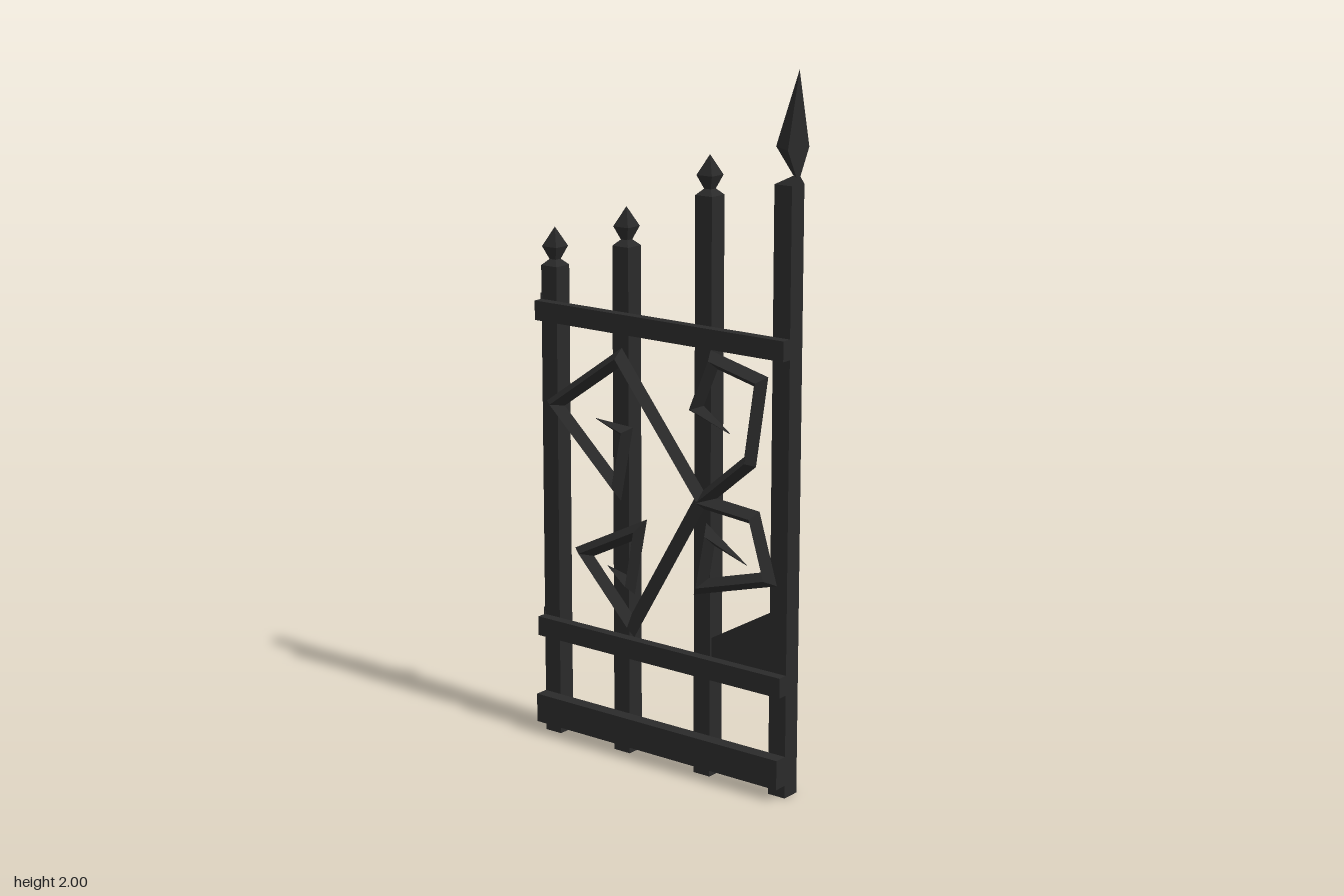
import * as THREE from 'three';

const POST = 0.056, POST_Z = -0.01;

// four-sided tapered prism with sides parallel to x and z; half widths at bottom and top
function squareTaper(bottom, top, height) {
  const g = new THREE.CylinderGeometry(top * Math.SQRT2, bottom * Math.SQRT2, height, 4);
  return g.rotateY(Math.PI / 4).translate(0, height / 2, 0);
}

// bevelled bar along a polyline of [x, y, halfWidth]: flat back, ridge in front
function scrollBar(points, back = 0.018, rise = 0.028) {
  const rings = points.map(([x, y, w], i) => {
    const p = new THREE.Vector2(x, y);
    const dir = (a, b) => new THREE.Vector2(b[0] - a[0], b[1] - a[1]).normalize();
    const before = i > 0 ? dir(points[i - 1], points[i]) : dir(points[i], points[i + 1]);
    const after = i < points.length - 1 ? dir(points[i], points[i + 1]) : before;
    const n1 = new THREE.Vector2(-before.y, before.x);
    const n2 = new THREE.Vector2(-after.y, after.x);
    const miter = n1.clone().add(n2).normalize();
    miter.multiplyScalar(w / Math.max(miter.dot(n1), 0.45));
    return [
      [p.x + miter.x, p.y + miter.y, back],
      [p.x, p.y, back + rise * Math.min(1, w / 0.018)],
      [p.x - miter.x, p.y - miter.y, back],
    ];
  });
  const pos = [];
  const tri = (a, b, c) => pos.push(...a, ...b, ...c);
  for (let i = 0; i < rings.length - 1; i++) {
    const a = rings[i], b = rings[i + 1];
    for (let k = 0; k < 3; k++) {
      const m = (k + 1) % 3;
      tri(a[k], a[m], b[m]);
      tri(a[k], b[m], b[k]);
    }
  }
  const s = rings[0], e = rings[rings.length - 1];
  tri(s[0], s[2], s[1]);
  tri(e[0], e[1], e[2]);
  const g = new THREE.BufferGeometry();
  g.setAttribute('position', new THREE.Float32BufferAttribute(pos, 3));
  g.computeVertexNormals();
  return g;
}

export function createModel() {
  const gate = new THREE.Group();
  gate.name = 'gate';
  const iron = new THREE.MeshStandardMaterial({ color: 0x2a2a2a });
  iron.name = 'blackIron';

  function add(name, geometry, x = 0, y = 0, z = 0) {
    const flat = geometry.index ? geometry.toNonIndexed() : geometry;
    flat.computeVertexNormals();
    const mesh = new THREE.Mesh(flat, iron);
    mesh.name = name;
    mesh.position.set(x, y, z);
    gate.add(mesh);
  }

  // upright posts with pointed finials
  const posts = [[-0.389, 1.39], [-0.13, 1.475], [0.157, 1.645]];
  for (const [x, h] of posts) {
    add('post', new THREE.BoxGeometry(POST, h, POST), x, h / 2, POST_Z);
    add('postCap', squareTaper(POST / 2, 0.01, 0.018), x, h, POST_Z);
    add('finialBase', squareTaper(0.01, 0.026, 0.04), x, h + 0.014, POST_Z);
    add('finialTip', squareTaper(0.026, 0, 0.055), x, h + 0.054, POST_Z);
  }

  // tall closing post, with its cap leaning to the meeting edge
  const edge = 0.445;
  add('tallPost', new THREE.BoxGeometry(POST, 1.7, POST), edge - POST / 2, 0.85, POST_Z);
  const cap = squareTaper(POST / 2, 0.001, 0.03);
  const cp = cap.attributes.position;
  for (let i = 0; i < cp.count; i++) if (cp.getY(i) > 0.015) cp.setX(i, POST / 2);
  add('tallPostCap', cap, edge - POST / 2, 1.7, POST_Z);

  // half spearhead, flat on the meeting edge
  const half = (bottom, top, h, y) =>
    add('spearhead', new THREE.CylinderGeometry(top, bottom, h, 2, 1, true, Math.PI, Math.PI)
      .scale(1.5, 1, 1), edge, y + h / 2, POST_Z);
  half(0.006, 0.048, 0.08, 1.715);
  half(0.048, 0, 0.205, 1.795);
  const face = new THREE.Shape([[-0.006, 1.715], [0.006, 1.715], [0.048, 1.795], [0, 2], [-0.048, 1.795]]
    .map(([u, v]) => new THREE.Vector2(u, v)));
  add('spearheadFlat', new THREE.ShapeGeometry(face).rotateY(Math.PI / 2), edge, 0, POST_Z);

  // horizontal rails on the front: bottom y, top y, depth
  for (const [y0, y1, d] of [[0.037, 0.122, 0.04], [0.3, 0.357, 0.03], [1.237, 1.293, 0.03]]) {
    add('rail', new THREE.BoxGeometry(0.862, y1 - y0, d), 0.014, (y0 + y1) / 2, 0.018 + d / 2);
  }

  // hinge pins on the outer post
  for (const y of [0.33, 1.267]) {
    add('hinge', new THREE.CylinderGeometry(0.03, 0.03, 0.073, 4), -0.415, y, POST_Z);
  }

  // sloping corner plate beside the lock post
  const plate = new THREE.Shape([[0.17, 0.32], [0.4, 0.32], [0.4, 0.532], [0.17, 0.4]]
    .map(([x, y]) => new THREE.Vector2(x, y)));
  add('cornerPlate', new THREE.ExtrudeGeometry(plate, { depth: 0.044, bevelEnabled: false }), 0, 0, -0.033);

  // angular scrollwork
  const w = 0.021;
  add('leftScroll', scrollBar([
    [-0.22, 0.975, 0.001], [-0.108, 0.955, 0.018], [-0.143, 0.79, w], [-0.368, 0.997, w],
    [-0.13, 1.163, w], [0.155, 0.805, w], [-0.088, 0.39, w], [-0.265, 0.575, w],
    [-0.065, 0.675, w], [-0.095, 0.51, 0.018], [-0.18, 0.55, 0.001],
  ]));
  add('upperRightScroll', scrollBar([
    [0.155, 0.8, w], [0.318, 0.938, w], [0.352, 1.165, w], [0.195, 1.203, w],
    [0.135, 1.06, 0.02], [0.25, 1.005, 0.001],
  ]));
  add('lowerRightScroll', scrollBar([
    [0.155, 0.8, w], [0.335, 0.785, w], [0.385, 0.62, w], [0.155, 0.555, w],
    [0.185, 0.71, 0.02], [0.31, 0.645, 0.001],
  ]));

  return gate;
}
